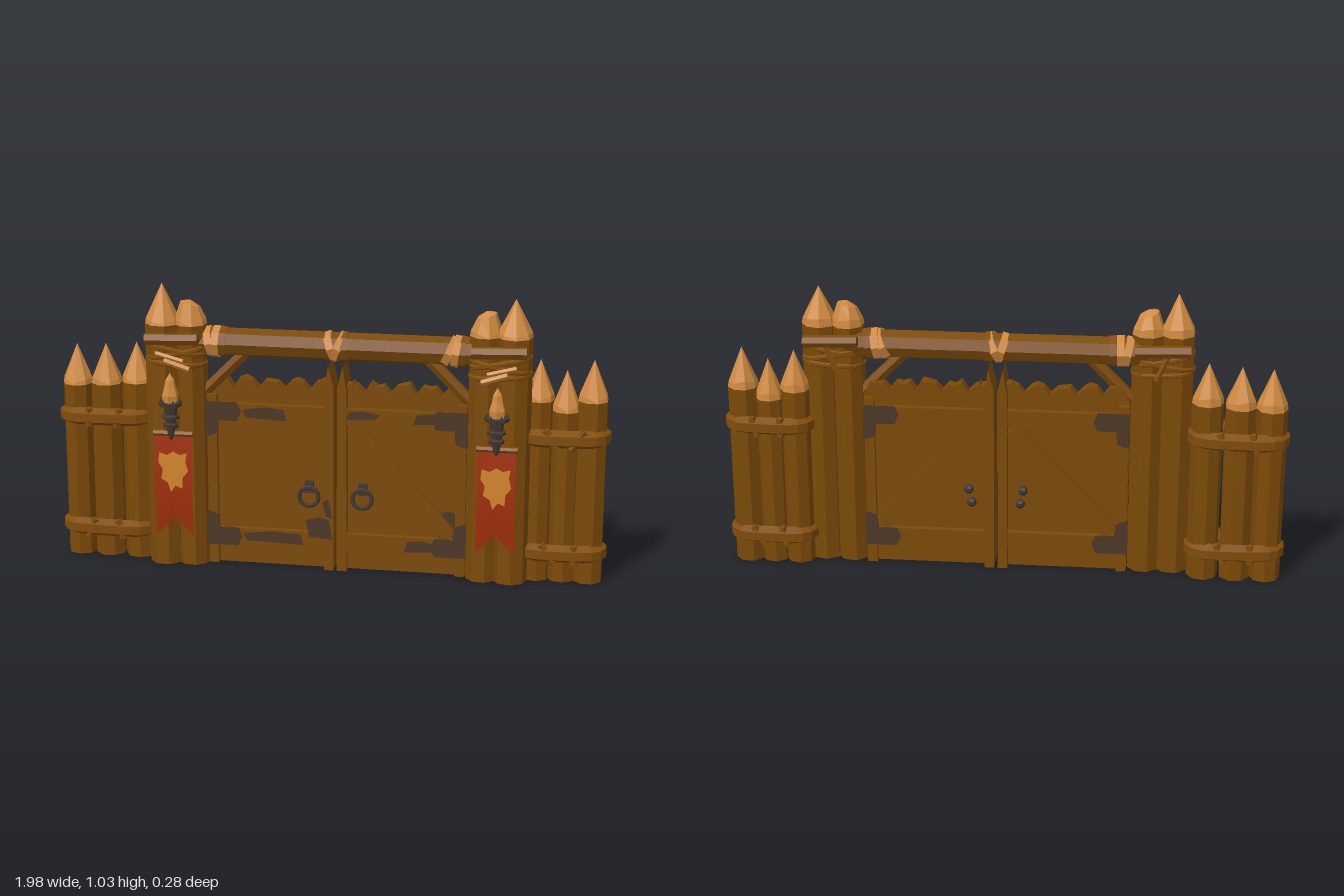
import * as THREE from 'three';

const mat = (name, color) => Object.assign(new THREE.MeshStandardMaterial({ color }), { name });

export function createModel() {
  const wood = mat('wood', 0x7c4a08), cut = mat('cut wood', 0xd08a40), rope = mat('rope', 0x804c0b);
  const iron = mat('iron', 0x4d3827), darkIron = mat('dark iron', 0x433730);
  const red = mat('banner red', 0xa0300c), gold = mat('emblem gold', 0xd4862c);
  red.side = THREE.DoubleSide;

  let seed = 7;
  const rnd = () => (seed = (seed * 16807) % 2147483647) / 2147483647;
  const model = new THREE.Group();
  model.name = 'palisadeGate';
  const CX = 0.028; // middle of the doorway

  const group = (name, x = 0, y = 0, z = 0, parent = model) => {
    const g = new THREE.Group();
    g.name = name;
    g.position.set(x, y, z);
    parent.add(g);
    return g;
  };
  // Adds a faceted mesh
  const add = (parent, name, geo, material, x = 0, y = 0, z = 0) => {
    const flat = geo.index ? geo.toNonIndexed() : geo;
    flat.computeVertexNormals();
    const m = new THREE.Mesh(flat, material);
    m.name = name;
    m.position.set(x, y, z);
    parent.add(m);
    return m;
  };
  const box = (parent, name, material, w, h, d, x, y, z) =>
    add(parent, name, new THREE.BoxGeometry(w, h, d), material, x, y, z);
  // Round bar between two points
  const bar = (parent, name, material, a, b, r, sides = 6) => {
    const p = new THREE.Vector3(...a), q = new THREE.Vector3(...b);
    const m = add(parent, name, new THREE.CylinderGeometry(r, r, p.distanceTo(q), sides), material);
    m.position.copy(p).add(q).multiplyScalar(0.5);
    m.quaternion.setFromUnitVectors(new THREE.Vector3(0, 1, 0), q.sub(p).normalize());
    return m;
  };
  const plate = (parent, name, pts, depth, material, z) => {
    const shape = new THREE.Shape(pts.map(p => new THREE.Vector2(...p)));
    return add(parent, name, new THREE.ExtrudeGeometry(shape, { depth, bevelEnabled: false }), material, 0, 0, z);
  };
  // Lashing that runs around a row of logs
  const lashing = (parent, name, half, rad, tube, material, x, y, z) => {
    const pts = [];
    for (let i = 0; i < 12; i++) {
      const a = (i + 0.5) / 12 * Math.PI * 2;
      pts.push(new THREE.Vector3(Math.cos(a) * rad + Math.sign(Math.cos(a)) * half, 0, Math.sin(a) * rad));
    }
    const curve = new THREE.CatmullRomCurve3(pts, true);
    return add(parent, name, new THREE.TubeGeometry(curve, 28, tube, 6, true), material, x, y, z);
  };
  // Log with a sharpened, or a chopped and slanting, tip
  const log = (parent, name, x, z, r, shoulder, top, blunt = 0) => {
    const g = group(name, x, 0, z, parent);
    g.rotation.y = rnd() * 0.5;
    const low = shoulder - 0.02;
    add(g, 'shaft', new THREE.CylinderGeometry(r, r, low, 8), wood, 0, low / 2);
    const pts = [[r, low], [r * 0.95, shoulder]];
    if (blunt) pts.push([r * 0.6, top - 0.015]);
    pts.push([0, top]);
    const tip = new THREE.LatheGeometry(pts.map(p => new THREE.Vector2(...p)), 8);
    const pos = tip.attributes.position;
    for (let i = 0; i < pos.count; i++) {
      const y = pos.getY(i), px = pos.getX(i);
      if (blunt && y > shoulder + 0.01) pos.setY(i, y + px * blunt);
      else if (y > low + 0.005 && y < top - 0.01) pos.setY(i, y + Math.sin(pos.getZ(i) * 90) * 0.012);
    }
    add(g, 'tip', tip, cut);
  };

  // Side fences: three touching logs each, lashed at two heights
  const fences = [
    [[-0.927, 0.785, 0.055], [-0.82, 0.79, 0.056], [-0.706, 0.8, 0.056]],
    [[0.738, 0.8, 0.052], [0.83, 0.765, 0.05], [0.922, 0.805, 0.054]],
  ];
  for (const logs of fences) {
    const g = group(logs[0][0] < 0 ? 'rightFence' : 'leftFence');
    for (const [x, top, r] of logs) log(g, 'fenceLog', x, -0.062, r, top - 0.125, top);
    const mid = (logs[0][0] + logs[2][0]) / 2, half = (logs[2][0] - logs[0][0]) / 2;
    for (const y of [0.11, 0.53]) {
      lashing(g, 'railLashing', half - 0.01, 0.05, 0.032, rope, mid, y, -0.06).rotation.z = (rnd() - 0.5) * 0.04;
      // Slanting turns of rope between the logs, front and back
      for (const [x] of logs.slice(0, 2)) for (const z of [0.006, -0.126]) {
        const c = x + half / 2, t = (rnd() - 0.5) * 0.05;
        bar(g, 'ropeTurn', rope, [c - t, y - 0.035, z], [c + t, y + 0.035, z], 0.014, 5);
      }
    }
  }

  // Worn iron plates on the front of each door: inner u, low y, outer u, high y
  const patches = {
    '-1': [[0.17, 0.55, 0.33, 0.597], [0.11, 0.09, 0.33, 0.135], [0.005, 0.12, 0.1, 0.2], [0.005, 0.2, 0.04, 0.27]],
    '1': [[0.03, 0.565, 0.15, 0.6], [0.27, 0.56, 0.4, 0.6], [0.36, 0.14, 0.44, 0.24], [0.24, 0.085, 0.36, 0.13]],
  };

  for (const s of [-1, 1]) {
    const side = s < 0 ? 'right' : 'left';

    // Gate posts, the sticks bound across them and their ropes
    const gp = group(side + 'GatePosts', CX + s * 0.575);
    log(gp, 'tallPost', s * 0.048, -0.012, 0.062, 0.905, s < 0 ? 1.03 : 1.02);
    log(gp, 'choppedPost', -s * 0.052, -0.018, 0.058, 0.905, 0.972, s * 0.3);
    bar(gp, 'frontStick', rope, [-0.095, 0.84, 0.058], [0.095, 0.846, 0.058], 0.022);
    bar(gp, 'backStick', rope, [-0.095, 0.846, -0.088], [0.095, 0.84, -0.088], 0.022);
    [[0.8, 0.2, rope], [0.785, -0.2, rope], [0.75, 0.06, rope]].forEach(([y, tilt, m]) => {
      lashing(gp, 'crossRope', 0.045, 0.06, 0.009, m, 0, y, -0.014).rotation.z = tilt * s;
    });
    bar(gp, 'ropeEnd', cut, [-s * 0.06, 0.735, 0.052], [s * 0.03, 0.765, 0.056], 0.011, 5);
    bar(gp, 'ropeEnd', cut, [s * 0.06, 0.79, 0.054], [-s * 0.04, 0.765, 0.058], 0.009, 5);
    bar(gp, 'ropeEnd', rope, [s * 0.02, 0.83, -0.085], [-s * 0.02, 0.74, -0.095], 0.01, 5);

    // Torch in an iron holder
    const torch = group('torch', 0, 0, 0.09, gp);
    const prof = [[0, 0.485], [0.009, 0.495], [0.016, 0.53], [0.026, 0.533], [0.028, 0.545], [0.018, 0.55],
      [0.02, 0.562], [0.032, 0.566], [0.033, 0.575], [0.022, 0.58], [0.025, 0.608], [0.042, 0.612], [0.043, 0.625], [0, 0.625]];
    add(torch, 'holder', new THREE.LatheGeometry(prof.map(p => new THREE.Vector2(...p)), 8), darkIron);
    for (let i = 0; i < 6; i++) {
      const a = i * Math.PI / 3;
      add(torch, 'prong', new THREE.ConeGeometry(0.007, 0.02, 4), darkIron, Math.cos(a) * 0.036, 0.63, Math.sin(a) * 0.036);
    }
    box(torch, 'bracket', darkIron, 0.02, 0.03, 0.06, 0, 0.61, -0.045);
    const flame = [[0, 0.62], [0.027, 0.625], [0.03, 0.65], [0.021, 0.68], [0.016, 0.705], [0, 0.73]];
    add(torch, 'flame', new THREE.LatheGeometry(flame.map(p => new THREE.Vector2(...p)), 6), cut);
    add(torch, 'sideFlame', new THREE.ConeGeometry(0.014, 0.06, 5), cut, 0.014, 0.665, 0.008);

    // Swallow-tailed banner on a rod
    const banner = group('banner', 0, 0, 0, gp);
    bar(banner, 'rod', rope, [-0.072, 0.5, 0.058], [0.072, 0.5, 0.058], 0.011);
    const cloth = new THREE.PlaneGeometry(0.136, 0.385, 4, 10);
    const p = cloth.attributes.position;
    for (let i = 0; i < p.count; i++) {
      const t = 0.5 - p.getY(i) / 0.385, u = Math.abs(p.getX(i)) / 0.068;
      p.setY(i, p.getY(i) + 0.065 * (1 - u) * t * t);
      p.setZ(i, Math.sin(t * Math.PI) * 0.01);
    }
    add(banner, 'cloth', cloth, red, 0, 0.312, 0.06);
    plate(banner, 'emblem', [[-0.05, 0.43], [-0.022, 0.422], [0, 0.436], [0.024, 0.424], [0.05, 0.432], [0.045, 0.4],
      [0.054, 0.365], [0.034, 0.34], [0.032, 0.3], [0.008, 0.31], [-0.01, 0.285], [-0.02, 0.32], [-0.044, 0.335],
      [-0.038, 0.37], [-0.054, 0.395]], 0.003, gold, 0.0695);

    // Slanting brace under the crossbeam
    bar(model, side + 'Brace', wood, [CX + s * 0.475, 0.64, -0.025], [CX + s * 0.32, 0.795, -0.025], 0.023);

    // Door leaf with a ragged top; u runs from the meeting edge outwards
    const door = group(side + 'Door', CX);
    const X = u => s * (u + 0.006);
    const leaf = [[X(0.46), 0.004], [X(0), 0.004]];
    for (let i = 0; i <= 20; i++)
      leaf.push([X(i * 0.023), 0.68 + (i % 4 === 0 ? -0.02 : rnd() * 0.02) - (i === 20 ? 0.02 : 0)]);
    plate(door, 'planks', leaf, 0.046, wood, -0.063);
    // Pointed meeting stile, with a shorter point beside it
    plate(door, 'meetingStile', [[X(0), 0.002], [X(0.035), 0.002], [X(0.035), 0.66], [X(0.02), 0.76], [X(0), 0.68]], 0.105, wood, -0.092);
    plate(door, 'jaggedPlank', [[X(0.035), 0.64], [X(0.075), 0.64], [X(0.065), 0.68], [X(0.05), 0.7]], 0.04, wood, -0.06);
    // Frame, diagonal and hinge plates on both faces
    for (const f of [1, -1]) {
      const Z = d => -0.04 + f * d;
      box(door, 'outerStile', wood, 0.035, 0.63, 0.025, X(0.44), 0.32, Z(0.034));
      for (const y of [0.11, 0.575])
        box(door, 'rail', wood, 0.42, 0.06, 0.022, X(0.24), y, Z(0.034));
      box(door, 'diagonal', wood, 0.525, 0.055, 0.018, X(0.23), 0.343, Z(0.032)).rotation.z = -s * 0.84;
      for (const y of [0.11, 0.575]) {
        const k = y > 0.3 ? -1 : 1;
        const L = [[0.462, -0.035 * k], [0.35, -0.035 * k], [0.335, 0], [0.35, 0.032 * k], [0.415, 0.032 * k],
          [0.42, 0.08 * k], [0.462, 0.095 * k]];
        plate(door, 'hingePlate', L.map(([u, v]) => [X(u), y + v]), 0.006, iron, Z(0.047) - 0.003);
      }
    }
    for (const [u0, y0, u1, y1] of patches[s]) {
      const d = 0.012, z = u0 < 0.01 ? 0.0135 : u0 > 0.35 ? -0.016 : 0.005;
      plate(door, 'wornPlate', [[X(u0), y0], [X(u1 - d), y0 + d / 2], [X(u1), y1 - d], [X((u0 + u1) / 2), y1],
        [X(u0 + d), y1 - d / 2]], 0.004, iron, z - 0.002);
    }
    // Ring handle in front, two studs behind
    box(door, 'handleMount', darkIron, 0.03, 0.04, 0.025, X(0.09), 0.308, -0.006);
    add(door, 'handleRing', new THREE.TorusGeometry(0.035, 0.008, 6, 14), darkIron, X(0.09), 0.275, 0.006);
    for (const [u, y] of [[0.09, 0.305], [0.08, 0.255]])
      add(door, 'stud', new THREE.SphereGeometry(0.018, 7, 5), darkIron, X(u), y, -0.085);
  }

  // Crossbeam with rope wraps
  const beam = group('crossbeam', CX, 0.822, -0.03);
  bar(beam, 'beam', wood, [-0.53, 0, 0], [0.53, 0, 0], 0.051, 8);
  for (const x of [-0.43, 0.005, 0.42]) {
    for (let i = -1; i <= 1; i++) {
      const tilt = (rnd() - 0.5) * 0.016;
      bar(beam, 'ropeWrap', i === 1 ? rope : cut, [x + i * 0.023 - 0.013, tilt, 0], [x + i * 0.023 + 0.013, -tilt, 0], i ? 0.056 : 0.058, 8);
    }
  }
  return model;
}
